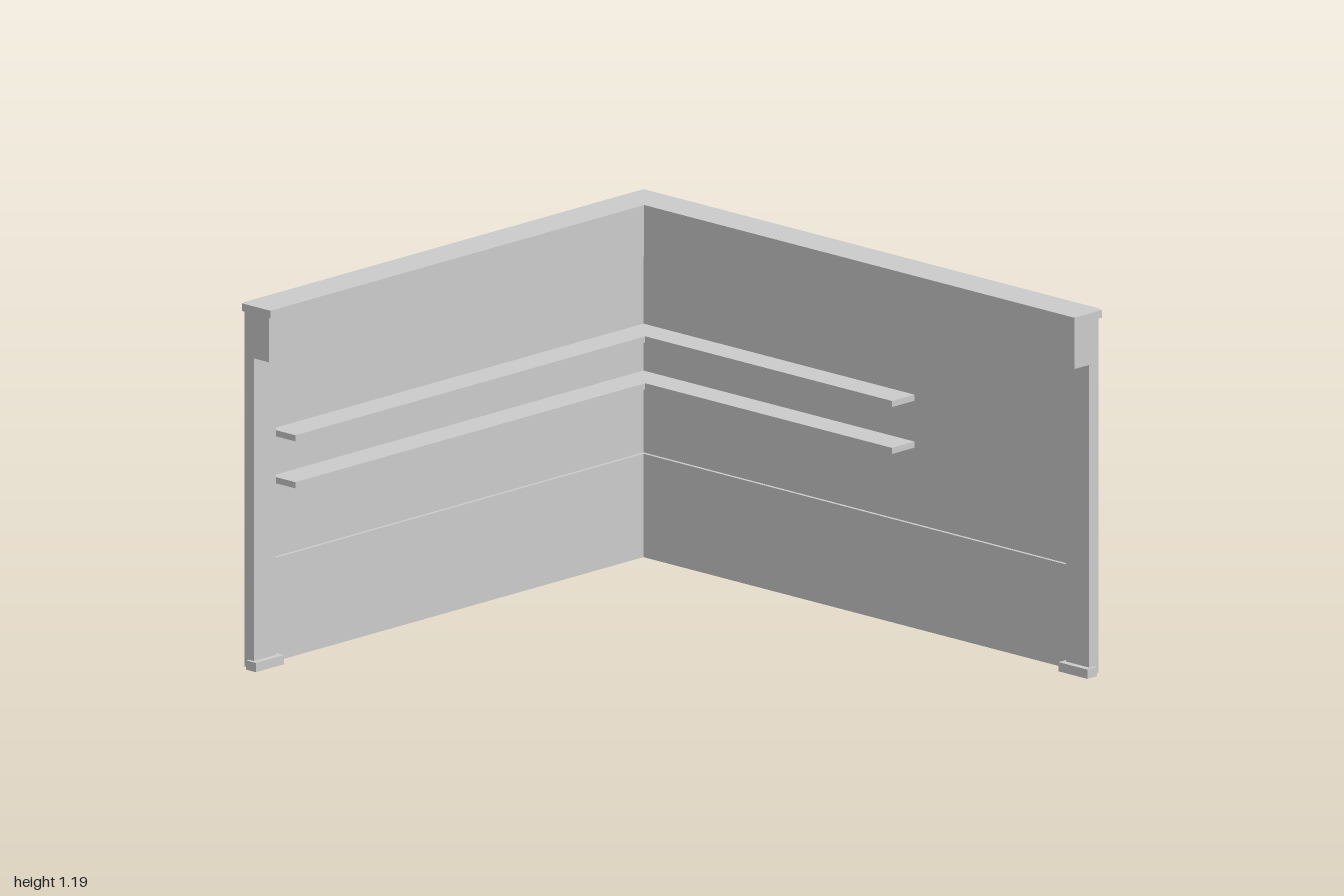
import * as THREE from 'three';

export function createModel() {
  const model = new THREE.Group();
  const material = new THREE.MeshStandardMaterial({ color: 0xcccccc, flatShading: true });

  // Box given by its lower and upper limits on each axis
  function box(name, x0, x1, y0, y1, z0, z1) {
    const mesh = new THREE.Mesh(new THREE.BoxGeometry(x1 - x0, y1 - y0, z1 - z0), material);
    mesh.position.set((x0 + x1) / 2, (y0 + y1) / 2, (z0 + z1) / 2);
    mesh.name = name;
    model.add(mesh);
  }

  // Outer panels meeting at the back left corner
  box('backPanel', -0.885, 0.908, 0.005, 1.185, -1, -0.982);
  box('sidePanel', 0.888, 0.908, 0.005, 1.185, -0.982, 0.967);

  // Counter top, an L with its corner over the panels
  const top = new THREE.Shape([
    [-0.915, 0.983], [0.89, 0.983], [0.89, -1], [0.765, -1], [0.765, 0.86], [-0.915, 0.86],
  ].map(([x, y]) => new THREE.Vector2(x, y)));
  const topGeometry = new THREE.ExtrudeGeometry(top, { depth: 0.025, bevelEnabled: false });
  topGeometry.rotateX(-Math.PI / 2);
  const counter = new THREE.Mesh(topGeometry, material);
  counter.position.y = 1.165;
  counter.name = 'counterTop';
  model.add(counter);

  // Deep beams under the counter top
  box('backBeam', -0.885, 0.888, 1.01, 1.165, -0.982, -0.895);
  box('sideBeam', 0.8, 0.888, 1.01, 1.165, -0.895, 0.967);

  // End posts with their feet
  box('backPost', -0.885, -0.785, 0.03, 1.01, -0.982, -0.96);
  box('backFoot', -0.897, -0.77, 0, 0.03, -0.982, -0.94);
  box('sidePost', 0.866, 0.888, 0.03, 1.01, 0.867, 0.967);
  box('sideFoot', 0.845, 0.888, 0, 0.03, 0.855, 0.98);

  // Slightly raised lower panels
  box('backLowerPanel', -0.785, 0.888, 0.005, 0.34, -0.982, -0.971);
  box('sideLowerPanel', 0.877, 0.888, 0.005, 0.34, -0.971, 0.867);

  // Two pairs of shelves; the side ones pass just through their panel
  for (const y of [0.585, 0.737]) {
    box('backShelf', -0.785, 0.787, y, y + 0.02, -0.982, -0.877);
    box('sideShelf', 0.787, 0.912, y, y + 0.02, -0.982, 0.19);
  }
  return model;
}
